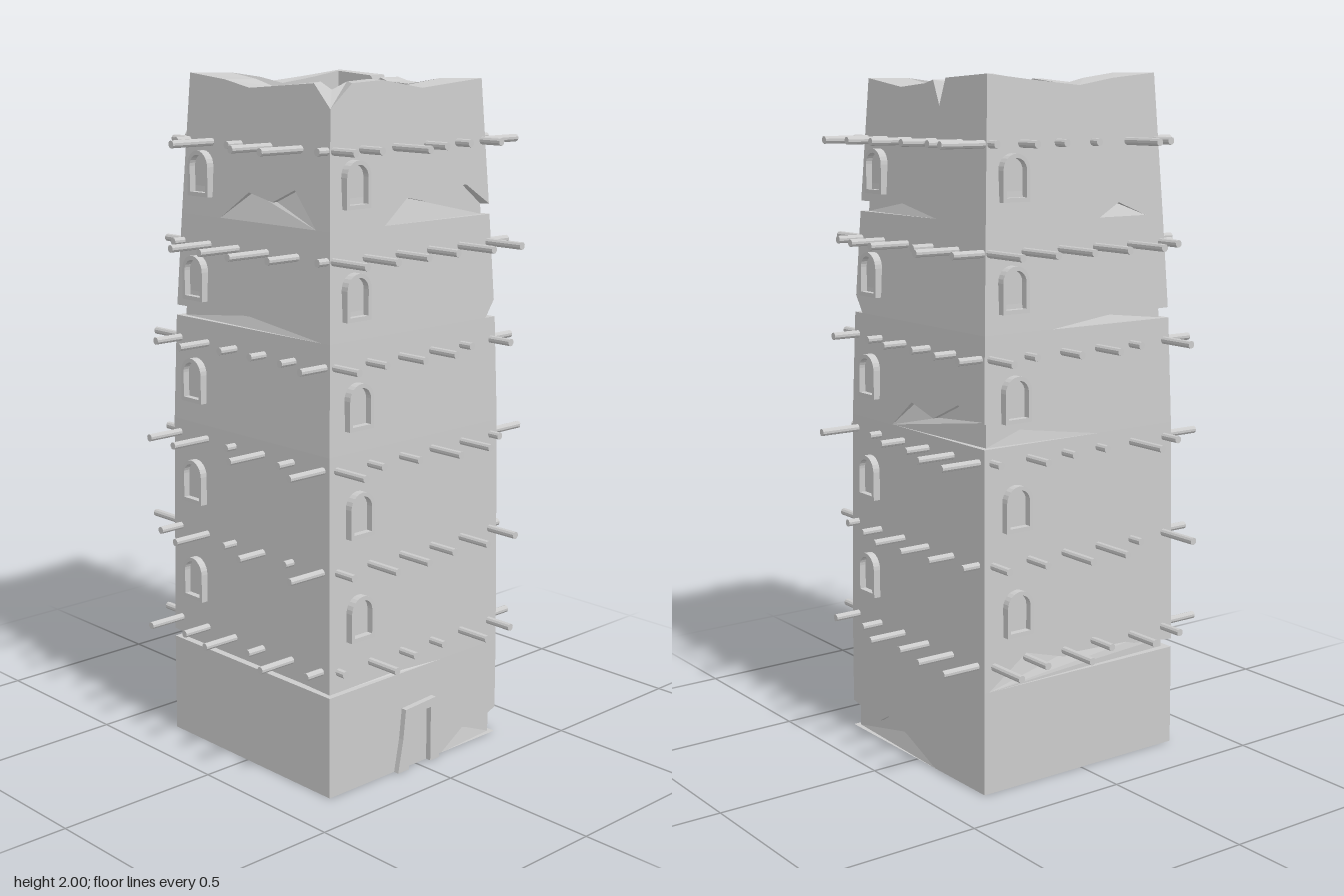
import * as THREE from 'three';

const wallMat = new THREE.MeshStandardMaterial({ color: 0xcccccc, flatShading: true, side: THREE.DoubleSide });
const partMat = new THREE.MeshStandardMaterial({ color: 0xcccccc, flatShading: true });

// Wall profile: half width at each storey break
const LEVELS = [0, 0.3, 0.99, 1.3, 1.6, 2.0];
const HALF = [0.348, 0.347, 0.339, 0.33, 0.315, 0.293];
const halfWidth = (y) => {
  let i = 0;
  while (i < LEVELS.length - 2 && y > LEVELS[i + 1]) i++;
  return THREE.MathUtils.lerp(HALF[i], HALF[i + 1], (y - LEVELS[i]) / (LEVELS[i + 1] - LEVELS[i]));
};
const E = 9; // stands for "at the corner", clamped to the wall edge

// Point on a wall, sunk by d below its surface
const onWall = (u, y, d = 0) => {
  const h = halfWidth(y) - d;
  return new THREE.Vector3(THREE.MathUtils.clamp(u, -h, h), y, h);
};

// Broken plaster: side (0 front, 1 +x, 2 back, 3 -x), storey, depth, jagged upper edge
const BREAKS = [
  { side: 0, band: 0, d: 0.015, pts: [[0.11, 0], [0.2, 0.055], [0.25, 0.045], [E, 0.08]] },
  { side: 1, band: 0, d: 0.015, pts: [[-E, 0.08], [-0.2, 0.055], [-0.15, 0.085], [-0.05, 0.06], [0.1, 0]] },
  { side: 0, band: 1, d: 0.022, pts: [[-E, 0.31], [-0.1, 0.312], [0.1, 0.3]] },
  { side: 2, band: 1, d: 0.022, pts: [[-0.33, 0.3], [-0.2, 0.39], [-0.06, 0.35], [0.04, 0.39], [0.2, 0.34], [E, 0.325]] },
  { side: 3, band: 1, d: 0.022, pts: [[-E, 0.325], [0, 0.32], [E, 0.31]] },
  { side: 1, band: 2, d: 0.018, pts: [[-0.12, 0.99], [-0.02, 1.07], [0.09, 1.04], [0.21, 1.095], [E, 1.06]] },
  { side: 2, band: 2, d: 0.018, pts: [[-E, 1.06], [-0.2, 1.03], [0.06, 0.99]] },
  { side: 0, band: 3, d: 0.035, pts: [[0.29, 1.3], [E, 1.35]] },
  { side: 1, band: 3, d: 0.035, pts: [[-E, 1.35], [-0.29, 1.3]] },
  { side: 2, band: 3, d: 0.02, pts: [[-0.1, 1.3], [0.1, 1.325], [E, 1.33]] },
  { side: 3, band: 3, d: 0.02, pts: [[-E, 1.33], [0, 1.335], [E - 8.7, 1.3]] },
  { side: 0, band: 4, d: 0.018, pts: [[-0.11, 1.6], [-0.02, 1.67], [0.05, 1.655], [0.11, 1.69], [0.22, 1.69], [E, 1.63]] },
  { side: 1, band: 4, d: 0.018, pts: [[-E, 1.63], [-0.1, 1.635], [0.08, 1.6]] },
  { side: 2, band: 4, d: 0.02, pts: [[0.08, 1.6], [0.15, 1.64], [0.25, 1.6]] },
  { side: 3, band: 4, d: 0.018, pts: [[-0.14, 1.6], [-0.02, 1.68], [0.08, 1.66], [0.17, 1.7], [0.26, 1.6]] },
];

// Crumbling top edge of each side, from its left to its right corner
const TOPS = [
  [[-E, 1.92], [-0.215, 1.985], [-0.1, 1.99], [0.05, 1.965], [0.17, 1.975], [E, 1.985]],
  [[-E, 1.985], [-0.12, 1.96], [0, 1.97], [0.04, 1.98], [0.075, 1.91], [0.1, 1.985], [E, 1.995]],
  [[-E, 1.995], [-0.15, 1.98], [0.02, 1.965], [0.14, 1.985], [E, 2]],
  [[-E, 2], [-0.14, 1.985], [-0.03, 1.965], [0.1, 1.975], [0.23, 1.985], [E, 1.92]],
];
const INNER = 0.21, ROOF_Y = 1.85;

function wallGeometry(side) {
  const tris = [];
  const tri = (...p) => p.forEach((v) => tris.push(v.x, v.y, v.z));
  const quad = (a, b, c, d) => { tri(a, b, c); tri(a, c, d); };
  const fill = (pts) => {
    const flat = pts.map((p) => new THREE.Vector2(p.x, p.y));
    THREE.ShapeUtils.triangulateShape(flat, []).forEach((f) => tri(...f.map((i) => pts[i])));
  };
  for (let b = 0; b < 5; b++) {
    const y0 = LEVELS[b];
    const breaks = BREAKS.filter((k) => k.side === side && k.band === b);
    const line = breaks.flatMap((k) => k.pts);
    if (!line.length || line[0][0] !== -E) line.unshift([-E, y0]);
    if (line[line.length - 1][0] !== E) line.push([E, y0]);
    const top = b === 4 ? TOPS[side] : [[-E, LEVELS[b + 1]], [E, LEVELS[b + 1]]];
    fill([...line, ...[...top].reverse()].map(([u, y]) => onWall(u, y)));

    // Sunken floor, overhanging lip and ledge of each break
    for (const { d, pts } of breaks) {
      const sunk = pts.map(([u, y]) => onWall(u, y, y === y0 ? 0 : d));
      const ends = [pts[0], pts[pts.length - 1]].map(([u]) => u);
      const foot = ends.map((u) => onWall(u, y0, Math.abs(u) === E ? d : 0));
      const floor = foot.filter((p, i) => Math.abs(ends[i]) === E);
      fill([...floor, ...[...sunk].reverse()]);
      for (let i = 0; i + 1 < pts.length; i++)
        quad(onWall(...pts[i]), sunk[i], sunk[i + 1], onWall(...pts[i + 1]));
      quad(onWall(ends[0], y0), onWall(ends[1], y0), foot[1], foot[0]);
    }
  }
  // Parapet top and inner face
  const outer = TOPS[side].map(([u, y]) => onWall(u, y));
  const inner = outer.map((p, i) => {
    const end = i === 0 ? -1 : i === outer.length - 1 ? 1 : 0;
    return new THREE.Vector3(end ? end * INNER : p.x * 0.72, Math.max(p.y, 1.965), INNER);
  });
  const low = inner.map((p) => new THREE.Vector3(p.x, ROOF_Y, INNER));
  for (let i = 0; i + 1 < outer.length; i++) {
    quad(outer[i], outer[i + 1], inner[i + 1], inner[i]);
    quad(inner[i], inner[i + 1], low[i + 1], low[i]);
  }
  const g = new THREE.BufferGeometry();
  g.setAttribute('position', new THREE.Float32BufferAttribute(tris, 3));
  g.computeVertexNormals();
  return g;
}

// Arched outline, standing on y = 0
function arch(path, w, h, y = 0) {
  path.moveTo(-w, y);
  path.lineTo(w, y);
  path.lineTo(w, h - w);
  path.absarc(0, h - w, w, 0, Math.PI, false);
  path.lineTo(-w, y);
  return path;
}
const extrude = (shape, depth) => new THREE.ExtrudeGeometry(shape, { depth, bevelEnabled: false, curveSegments: 6 });

function windowGroup(y) {
  const g = new THREE.Group();
  g.name = 'window';
  const frameShape = arch(new THREE.Shape(), 0.045, 0.13);
  frameShape.holes.push(arch(new THREE.Path(), 0.034, 0.118, 0.012));
  const frame = new THREE.Mesh(extrude(frameShape, 0.05), partMat);
  frame.name = 'windowFrame';
  const pane = new THREE.Mesh(extrude(arch(new THREE.Shape(), 0.036, 0.12, 0.008), 0.03), partMat);
  pane.name = 'windowPanel';
  g.add(frame, pane);
  g.position.set(-0.235 + Math.max(0, y - 1.4) * 0.05, y, halfWidth(y + 0.065) - 0.028);
  return g;
}

function doorFrame() {
  const s = new THREE.Shape([[-0.09, 0], [-0.07, 0.1], [-0.06, 0.19], [0.065, 0.197], [0.07, 0.17], [0.065, 0.1], [0.085, 0],
    [0.045, 0], [0.045, 0.17], [-0.045, 0.17], [-0.045, 0]].map((p) => new THREE.Vector2(...p)));
  const m = new THREE.Mesh(extrude(s, 0.035), partMat);
  m.name = 'doorFrame';
  m.position.z = 0.33;
  return m;
}

export function createModel() {
  const model = new THREE.Group();
  model.name = 'tower';
  let seed = 7;
  const rand = () => (seed = (seed * 16807) % 2147483647) / 2147483647;
  const beamRows = [[0.37, 0.465], [0.66, 0.465], [0.95, 0.465], [1.235, 0.44], [1.52, 0.46], [1.81, 0.45]];
  const beamGeo = new THREE.CylinderGeometry(0.011, 0.011, 1, 10).rotateX(Math.PI / 2);
  const centreShift = [-0.01, 0, 0.01, 0];

  for (let k = 0; k < 4; k++) {
    const side = new THREE.Group();
    side.name = ['frontSide', 'leftSide', 'backSide', 'rightSide'][k];
    side.rotation.y = (k * Math.PI) / 2;
    const wall = new THREE.Mesh(wallGeometry(k), wallMat);
    wall.name = 'wall';
    side.add(wall);
    for (const y of [0.45, 0.75, 1.055, 1.355, 1.655]) side.add(windowGroup(y));

    // Rows of projecting beams with uneven lengths
    for (const [y, reach] of beamRows) {
      const h = halfWidth(y);
      for (let i = 0; i < 6; i++) {
        const u = THREE.MathUtils.clamp(-0.3125 + 0.125 * i, 0.013 - h, h - 0.013);
        const end = THREE.MathUtils.lerp(h + 0.03, reach + centreShift[k], Math.min(1, rand() * 1.4));
        const beam = new THREE.Mesh(beamGeo, partMat);
        beam.name = 'beam';
        beam.scale.z = end - 0.25;
        beam.position.set(u, y, (end + 0.25) / 2);
        side.add(beam);
      }
    }
    if (k === 0) side.add(doorFrame());
    model.add(side);
  }

  // Sunken roof inside the parapet
  const roof = new THREE.Mesh(new THREE.PlaneGeometry(INNER * 2, INNER * 2).rotateX(-Math.PI / 2), wallMat);
  roof.name = 'roof';
  roof.position.y = ROOF_Y;
  model.add(roof);

  model.children.forEach((c) => { c.position.z += 0.01; });
  return model;
}
